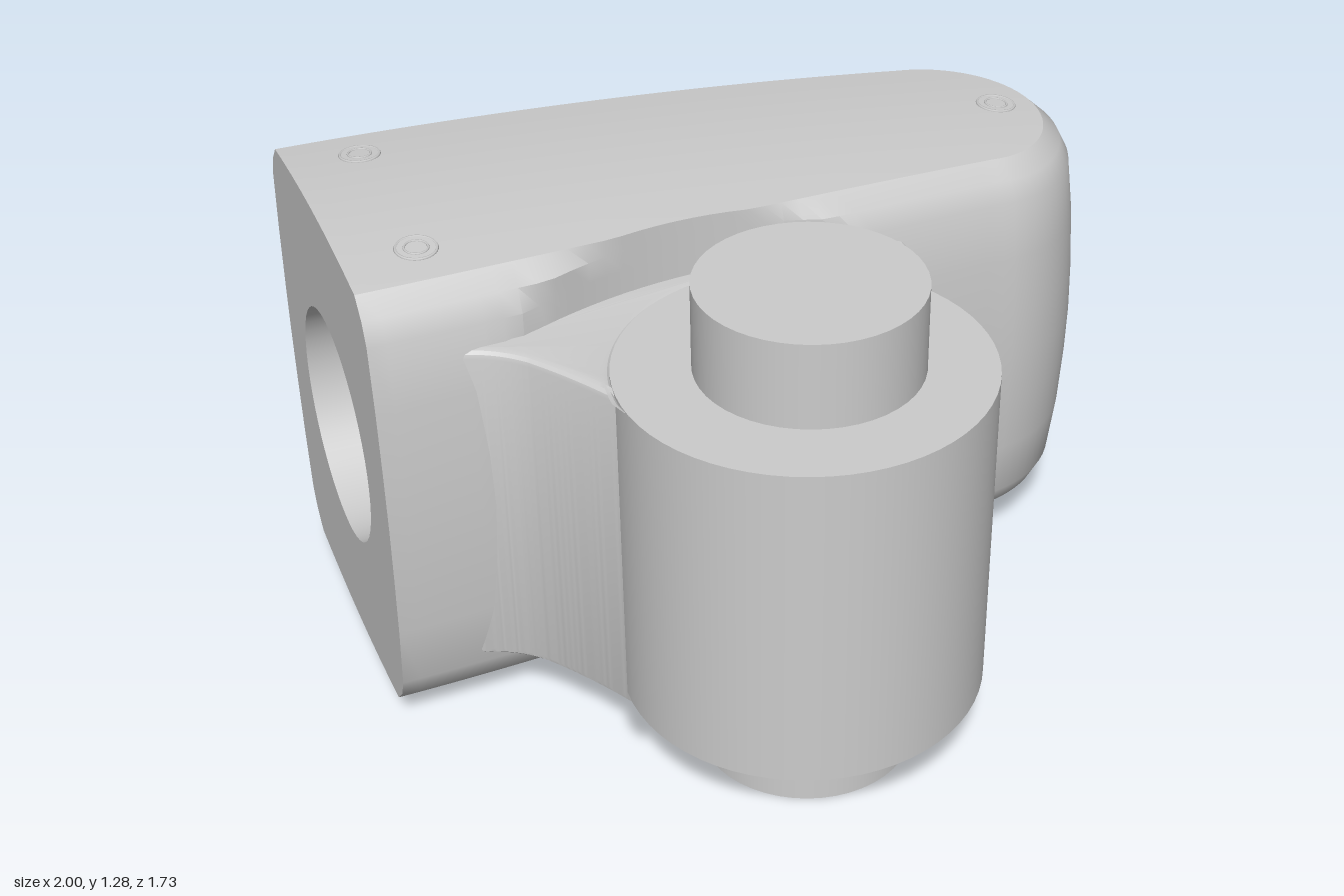
import * as THREE from 'three';
import { toCreasedNormals } from 'three/addons/utils/BufferGeometryUtils.js';

const MID_Y = 0.645, MID_Z = -0.38;   // centre line of the housing
const PIVOT = [-0.09, 0.425];         // x, z of the upright barrel
const grey = new THREE.MeshStandardMaterial({ color: 0xcccccc });
const greyDouble = new THREE.MeshStandardMaterial({ color: 0xcccccc, side: THREE.DoubleSide });

function add(parent, name, geometry, x = 0, y = 0, z = 0, material = grey) {
  const mesh = new THREE.Mesh(geometry, material);
  mesh.name = name;
  mesh.position.set(x, y, z);
  parent.add(mesh);
  return mesh;
}

// Half height of the housing, tapering to the nose and bowed across z
function halfHeight(x, z) {
  const s = Math.max(0, (x + 1) / 1.9);
  return 0.605 - 0.08 * Math.pow(s, 2.2) - 0.035 * ((z - MID_Z) / 0.48) ** 2;
}

// Side profile: [inset, fraction of half height]
const upper = [[0, 0], [0.003, 0.25], [0.012, 0.55], [0.03, 0.84], [0.055, 0.93], [0.1, 1]];
const layers = [...upper.slice(1).reverse().map(([d, v]) => [d, -v]), ...upper];

// Point on the plan outline at station t (0..1 straight flank, 1..2 round nose)
function outline(t, inset, side) {
  let x, half;
  if (t <= 1) {
    x = -1 + 1.65 * t;
    half = 0.48 - 0.105 * Math.pow(t, 1.6) - inset;
  } else {
    const a = (t - 1) * Math.PI / 2;
    x = 0.65 + (0.35 - inset) * Math.sin(a);
    half = (0.375 - inset) * (t >= 2 ? 0 : Math.cos(a));
  }
  let z = MID_Z + side * half;
  // Shallow hollow in the front flank, behind the barrel
  if (side > 0) z = Math.min(z, -0.05 + 0.45 * (x + 0.13) ** 2);
  return [x, z];
}

// Closed section of the housing at station t
function section(t) {
  const pts = [];
  const put = (x, z, v) => pts.push([x, MID_Y + v * halfHeight(x, z), z]);
  const across = (from, v) => {
    const [x, z0] = outline(t, 0.1, from), [, z1] = outline(t, 0.1, -from);
    for (let k = 1; k < 8; k++) put(x, z0 + (z1 - z0) * k / 8, v);
  };
  for (const [d, v] of layers) put(...outline(t, d, 1), v);
  across(1, 1);
  for (const [d, v] of [...layers].reverse()) put(...outline(t, d, -1), v);
  across(-1, -1);
  return pts;
}

function housingGeometry() {
  const stations = [];
  for (let i = 0; i <= 36; i++) stations.push(i / 36);
  for (let i = 1; i <= 16; i++) stations.push(1 + i / 16);
  const rings = stations.map(section), n = rings[0].length;
  const index = [];
  for (let i = 0; i < rings.length - 1; i++) {
    for (let j = 0; j < n; j++) {
      const a = i * n + j, b = i * n + (j + 1) % n;
      index.push(a, a + n, b, b, a + n, b + n);
    }
  }
  const g = new THREE.BufferGeometry();
  g.setAttribute('position', new THREE.Float32BufferAttribute(rings.flat(2), 3));
  g.setIndex(index);
  return toCreasedNormals(g, 0.45);
}

// Flat end with a round bore
function addBoredEnd(parent) {
  const radius = 0.3, depth = 0.6;
  const shape = new THREE.Shape(section(0).map(([, y, z]) => new THREE.Vector2(z, y)));
  shape.holes.push(new THREE.Path().absarc(MID_Z, MID_Y, radius, 0, Math.PI * 2, true));
  add(parent, 'endFace', new THREE.ShapeGeometry(shape, 24).rotateY(-Math.PI / 2), -1, 0, 0);
  const wall = new THREE.CylinderGeometry(radius, radius, depth, 48, 1, true).rotateZ(Math.PI / 2);
  add(parent, 'boreWall', wall, -1 + depth / 2, MID_Y, MID_Z, greyDouble);
  add(parent, 'boreFloor', new THREE.CircleGeometry(radius, 48).rotateY(-Math.PI / 2), -1 + depth, MID_Y, MID_Z);
}

// Screw seats lying flush on the upper and lower faces
function addScrewSeat(parent, x, z, sign) {
  const e = 0.01;
  const slopeX = (halfHeight(x + e, z) - halfHeight(x - e, z)) / (2 * e);
  const slopeZ = (halfHeight(x, z + e) - halfHeight(x, z - e)) / (2 * e);
  const normal = new THREE.Vector3(-slopeX, sign, -slopeZ).normalize();
  const seat = new THREE.Group();
  seat.name = 'screwSeat';
  seat.position.set(x, MID_Y + sign * halfHeight(x, z), z);
  seat.quaternion.setFromUnitVectors(new THREE.Vector3(0, 0, 1), normal);
  add(seat, 'seatRim', new THREE.TorusGeometry(0.048, 0.004, 6, 32));
  add(seat, 'screwHead', new THREE.CircleGeometry(0.046, 32), 0, 0, 0.002);
  add(seat, 'screwSocket', new THREE.TorusGeometry(0.028, 0.003, 6, 24), 0, 0, 0.002);
  parent.add(seat);
}

// Saddle that joins the housing to the barrel
function saddleGeometry() {
  const [cx, cz] = PIVOT, bevel = 0.02, height = 0.885;
  const s = new THREE.Shape();
  s.moveTo(-0.8, 0.12);
  s.lineTo(-0.8, -0.07);
  s.quadraticCurveTo(-0.72, -0.09, -0.66, -0.16);
  s.quadraticCurveTo(-0.58, -0.27, -0.515, -0.405);
  s.absarc(cx, -cz, 0.435, Math.PI, Math.PI * 0.22, true);
  s.lineTo(0.265, -0.125);
  s.quadraticCurveTo(0.27, -0.06, 0.36, -0.03);
  s.lineTo(0.36, 0.12);
  const g = new THREE.ExtrudeGeometry(s, {
    depth: height - 2 * bevel, bevelEnabled: true, bevelThickness: bevel,
    bevelSize: bevel, bevelOffset: -bevel, bevelSegments: 3, curveSegments: 32,
  });
  g.rotateX(-Math.PI / 2);
  return toCreasedNormals(g, 0.5);
}

export function createModel() {
  const model = new THREE.Group();
  model.name = 'hingedHousing';

  const housing = new THREE.Group();
  housing.name = 'housing';
  model.add(housing);
  add(housing, 'housingShell', housingGeometry());
  addBoredEnd(housing);
  for (const sign of [1, -1]) {
    for (const [x, z] of [[-0.82, -0.63], [-0.82, -0.13], [0.8, -0.38]]) addScrewSeat(housing, x, z, sign);
  }

  // Oval cover on the back, held by two small screws
  const cover = new THREE.CylinderGeometry(1, 1, 0.03, 48).rotateX(Math.PI / 2).scale(0.075, 0.215, 1);
  add(housing, 'backCover', cover, -0.72, MID_Y, -0.852);
  for (const dy of [-0.13, 0.13]) {
    add(housing, 'coverScrew', new THREE.TorusGeometry(0.02, 0.003, 6, 24), -0.72, MID_Y + dy, -0.867);
  }

  // Upright barrel with its pin
  add(model, 'saddle', saddleGeometry(), 0, 0.204, 0);
  const [px, pz] = PIVOT;
  add(model, 'barrel', new THREE.CylinderGeometry(0.44, 0.44, 0.85, 64), px, MID_Y, pz);
  add(model, 'pin', new THREE.CylinderGeometry(0.266, 0.266, 1.285, 48), px + 0.01, 0.6425, pz);
  return model;
}
